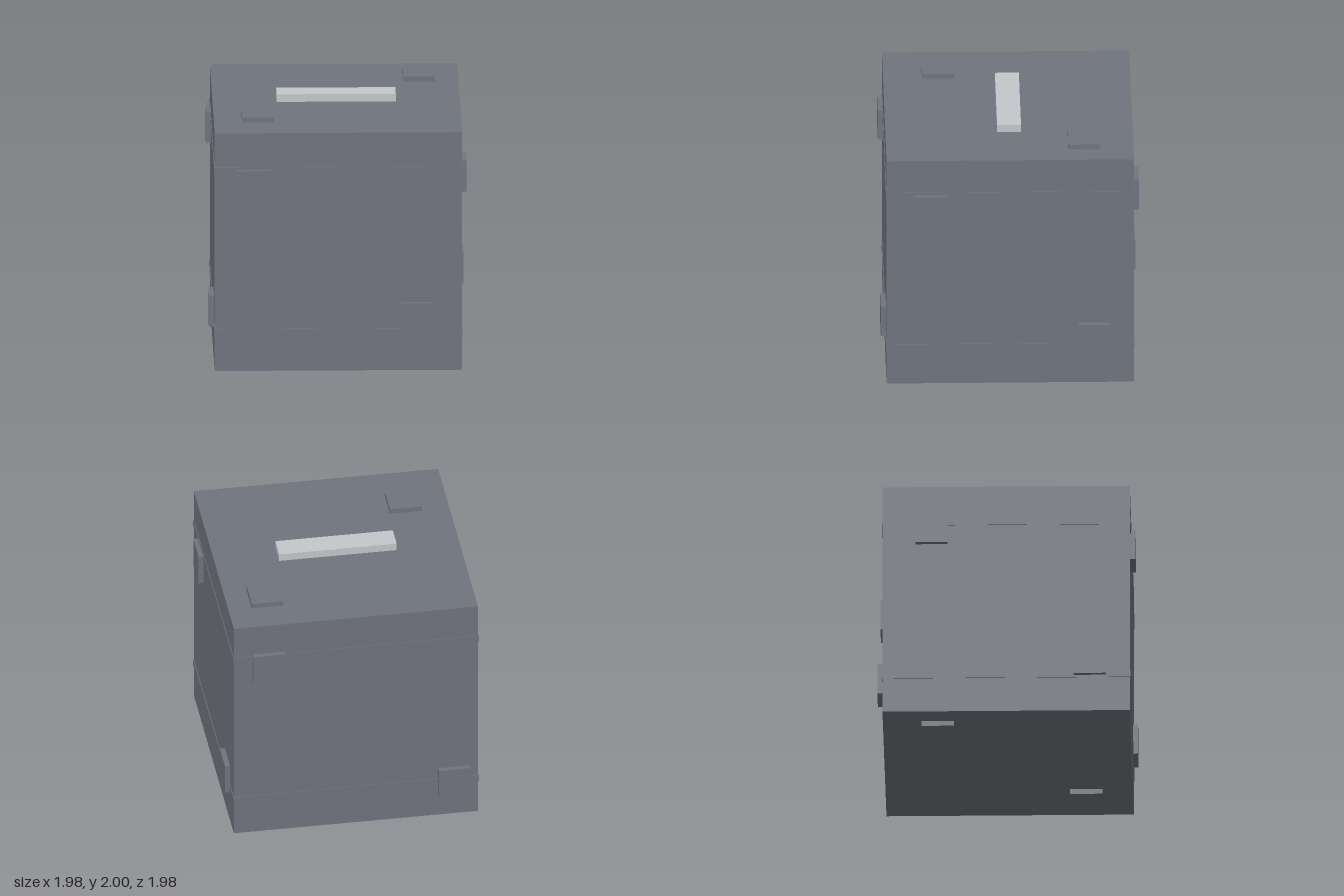
import * as THREE from 'three';

export function createModel() {
  const model = new THREE.Group();
  const slate = new THREE.MeshStandardMaterial({ color: 0x70747e });
  slate.name = 'slate grey';
  const silver = new THREE.MeshStandardMaterial({ color: 0xc4c8ca });
  silver.name = 'light silver';

  const addBox = (name, size, position, material = slate) => {
    const mesh = new THREE.Mesh(new THREE.BoxGeometry(...size), material);
    mesh.name = name;
    mesh.position.set(...position);
    model.add(mesh);
  };

  // Cube body with two barely raised bands around it
  const half = 0.95, midY = 0.99;
  addBox('body', [2 * half, 2 * half, 2 * half], [0, midY, 0]);
  addBox('upperBand', [1.91, 0.055, 1.91], [0, 1.643, 0]);
  addBox('lowerBand', [1.91, 0.055, 1.91], [0, 0.348, 0]);

  // Handle bar on the lid
  addBox('handle', [0.915, 0.06, 0.184], [0, 1.97, 0], silver);

  // Square pads, two on each face: axis, side, then centres in the other two axes
  const pad = 0.247, depth = 0.04;
  const faces = [
    ['frontPad', 2, 1, [[-0.65, 1.525], [0.605, 0.46]]],
    ['backPad', 2, -1, [[0.68, 1.563], [-0.763, 0.347]]],
    ['leftPad', 0, 1, [[1.525, 0.607], [0.423, -0.648]]],
    ['rightPad', 0, -1, [[1.58, -0.573], [0.462, 0.643]]],
    ['topPad', 1, 1, [[-0.61, 0.528], [0.645, -0.573]]],
    ['bottomPad', 1, -1, [[0.605, 0.592], [-0.65, -0.528]]],
  ];
  for (const [name, axis, side, centres] of faces) {
    centres.forEach((centre, i) => {
      const size = [pad, pad, pad];
      size[axis] = depth;
      const position = [...centre];
      const out = side * (half + depth / 2);
      position.splice(axis, 0, axis === 1 ? midY + out : out);
      addBox(name + (i + 1), size, position);
    });
  }
  return model;
}
